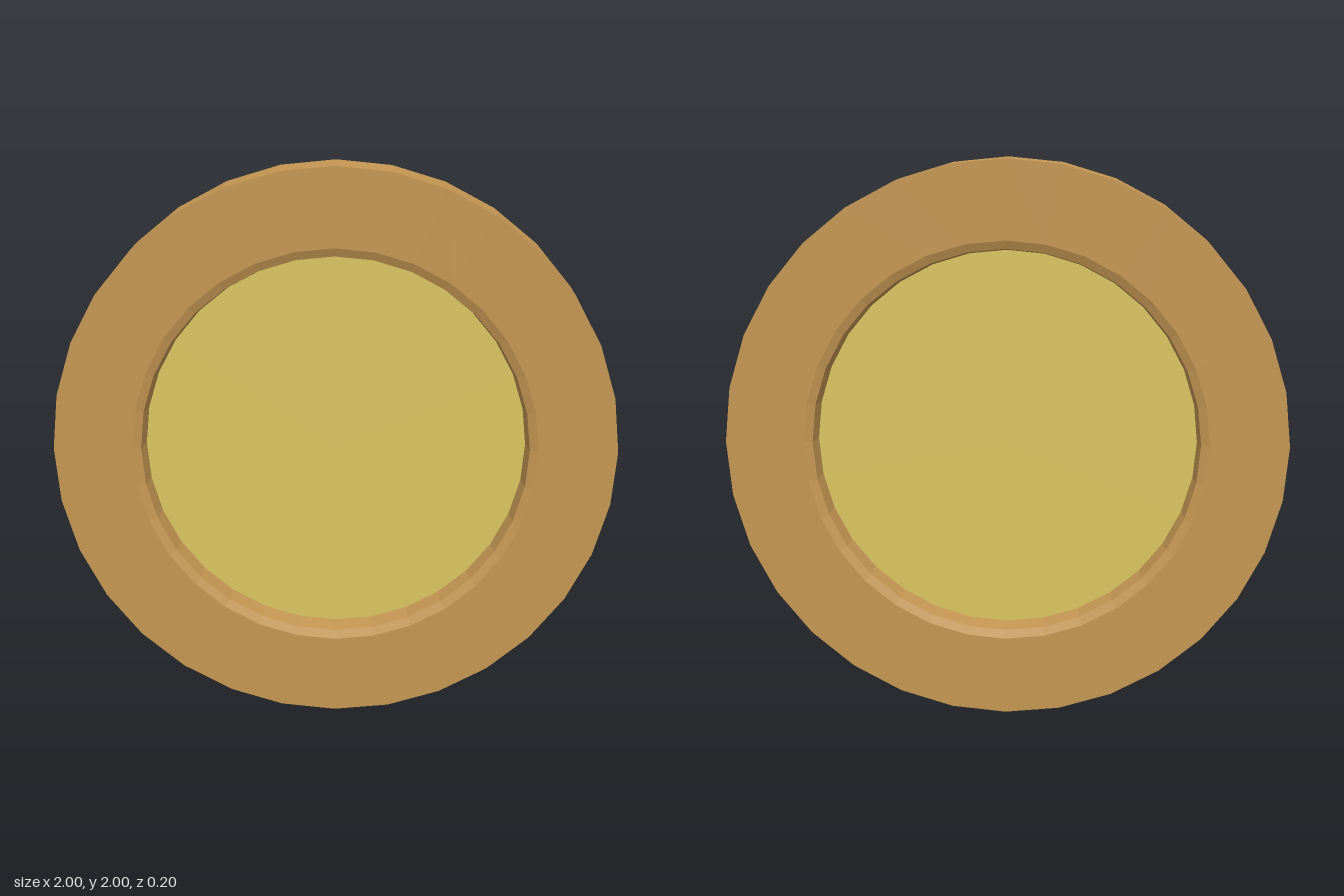
import * as THREE from 'three';

const SIDES = 32;

export function createModel() {
  const group = new THREE.Group();
  group.name = 'framedDisc';

  const rimMaterial = new THREE.MeshStandardMaterial({ color: 0xc49652, flatShading: true });
  const discMaterial = new THREE.MeshStandardMaterial({ color: 0xdac460, flatShading: true });

  // Rim: closed cross-section (radius, depth) with a shallow bevel on both inner edges
  const profile = [
    [1, -0.1], [1, 0.1], [0.72, 0.1], [0.69, 0.088], [0.68, 0.01],
    [0.68, -0.01], [0.69, -0.088], [0.72, -0.1], [1, -0.1],
  ].map(([r, d]) => new THREE.Vector2(r, d));
  const rim = new THREE.Mesh(new THREE.LatheGeometry(profile, SIDES).rotateX(Math.PI / 2), rimMaterial);
  rim.name = 'rim';

  // Thin recessed panel, visible from both sides
  const panel = new THREE.Mesh(
    new THREE.CylinderGeometry(0.682, 0.682, 0.02, SIDES).rotateX(Math.PI / 2),
    discMaterial
  );
  panel.name = 'centrePanel';

  for (const part of [rim, panel]) {
    part.position.y = 1;
    group.add(part);
  }
  return group;
}
